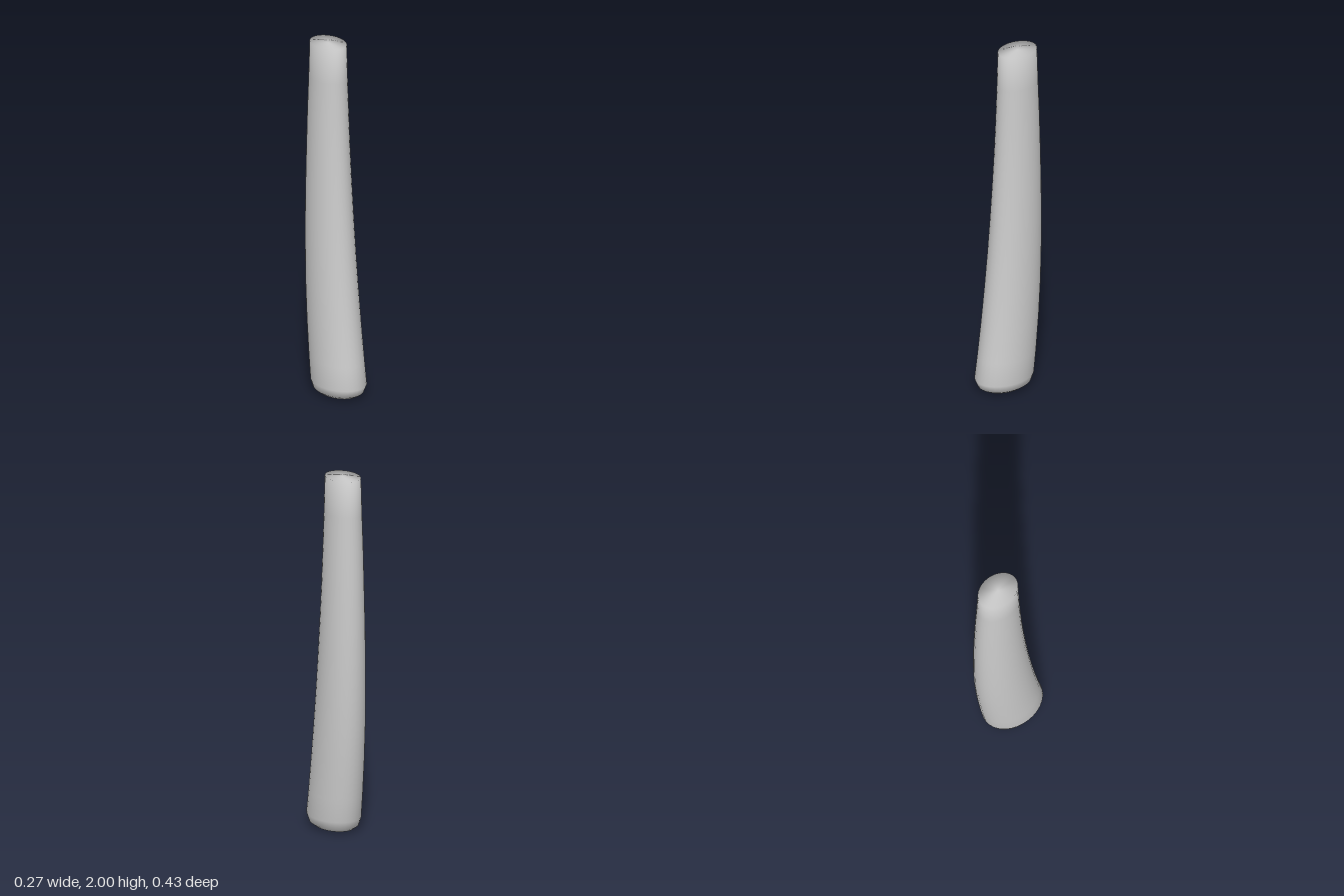
import * as THREE from 'three';

// Cross-sections from bottom to top: [y, half width in x, front z, back z]
const RINGS = [
  [0.0, 0.075, 0.135, -0.08],
  [0.007, 0.098, 0.162, -0.108],
  [0.026, 0.123, 0.195, -0.135],
  [0.07, 0.137, 0.215, -0.15],
  [0.2, 0.135, 0.194, -0.167],
  [0.4, 0.132, 0.166, -0.188],
  [0.6, 0.128, 0.142, -0.203],
  [0.8, 0.123, 0.121, -0.211],
  [1.0, 0.118, 0.103, -0.214],
  [1.2, 0.112, 0.088, -0.213],
  [1.4, 0.106, 0.075, -0.209],
  [1.6, 0.101, 0.065, -0.203],
  [1.8, 0.095, 0.058, -0.195],
  [2.0, 0.09, 0.053, -0.188],
];
const SIDES = 32;

// Smooth skin through elliptical rings, closed by a fan at each end
function loftEllipses(rings, sides) {
  const pos = [];
  const index = [];
  for (const [y, rx, front, back] of rings) {
    const cz = (front + back) / 2;
    const rz = (front - back) / 2;
    for (let i = 0; i < sides; i++) {
      const a = (i / sides) * Math.PI * 2;
      pos.push(Math.sin(a) * rx, y, cz + Math.cos(a) * rz);
    }
  }
  const last = (rings.length - 1) * sides;
  const bottomCentre = rings.length * sides;
  for (const [y, , front, back] of [rings[0], rings[rings.length - 1]]) {
    pos.push(0, y, (front + back) / 2);
  }
  for (let i = 0; i < sides; i++) {
    const j = (i + 1) % sides;
    for (let r = 0; r < last; r += sides) {
      index.push(r + i, r + j, r + sides + j, r + i, r + sides + j, r + sides + i);
    }
    index.push(bottomCentre, j, i);
    index.push(bottomCentre + 1, last + i, last + j);
  }
  const geometry = new THREE.BufferGeometry();
  geometry.setAttribute('position', new THREE.Float32BufferAttribute(pos, 3));
  geometry.setIndex(index);
  geometry.computeVertexNormals();
  return geometry;
}

export function createModel() {
  const group = new THREE.Group();
  group.name = 'curvedHandle';

  // Tapered, gently bowed grip with a rounded foot and a flat top
  const grip = new THREE.Mesh(
    loftEllipses(RINGS, SIDES),
    new THREE.MeshStandardMaterial({ color: 0xcccccc })
  );
  grip.name = 'grip';
  group.add(grip);
  return group;
}
